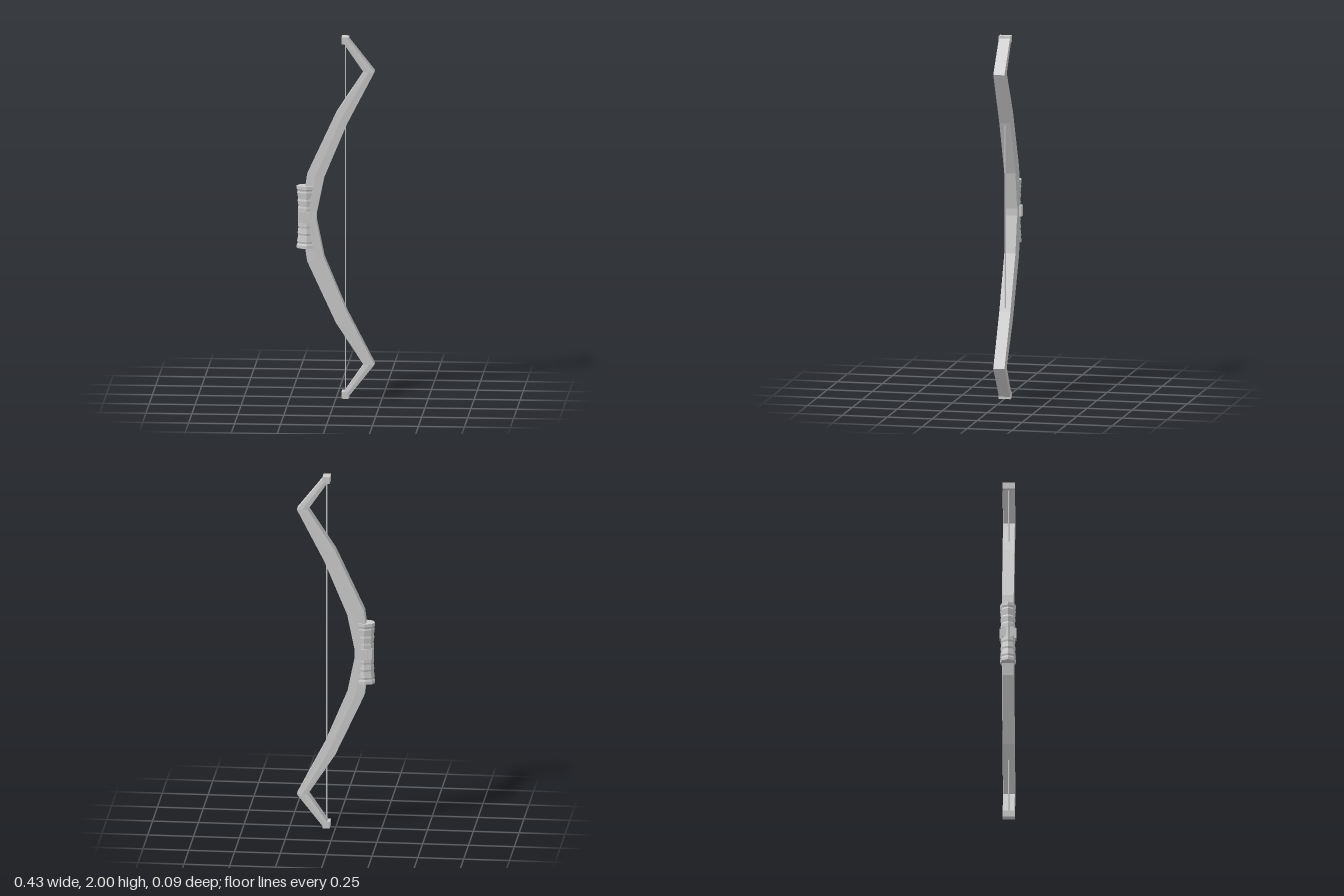
import * as THREE from 'three';

const material = new THREE.MeshStandardMaterial({ color: 0xcccccc, flatShading: true });

// Skin closed rings (bottom to top, counter-clockwise from above) and cap both ends
function loft(rings) {
  const pos = [];
  const tri = (...points) => points.forEach((p) => pos.push(...p));
  const n = rings[0].length;
  for (let r = 0; r < rings.length - 1; r++) {
    const a = rings[r], b = rings[r + 1];
    for (let i = 0; i < n; i++) {
      const j = (i + 1) % n;
      tri(a[i], a[j], b[j]);
      tri(a[i], b[j], b[i]);
    }
  }
  const bottom = rings[0], top = rings[rings.length - 1];
  for (let i = 1; i < n - 1; i++) {
    tri(bottom[0], bottom[i + 1], bottom[i]);
    tri(top[0], top[i], top[i + 1]);
  }
  const geometry = new THREE.BufferGeometry();
  geometry.setAttribute('position', new THREE.Float32BufferAttribute(pos, 3));
  geometry.computeVertexNormals();
  return geometry;
}

export function createModel() {
  const group = new THREE.Group();
  const add = (name, geometry, x = 0, y = 0, z = 0) => {
    const mesh = new THREE.Mesh(geometry, material);
    mesh.name = name;
    mesh.position.set(x, y, z);
    group.add(mesh);
  };

  // Recurved limbs: left and right edge of each station, from the middle to the tip
  const upper = [
    [-0.19, 1.0, -0.11, 1.0],
    [-0.157, 1.24, -0.065, 1.22],
    [0.0, 1.58, 0.06, 1.52],
    [0.15, 1.81, 0.21, 1.81],
    [0.042, 1.967, 0.068, 1.99],
  ];
  const lower = upper.slice(1).reverse().map(([lx, ly, rx, ry]) => [lx, 2 - ly, rx, 2 - ry]);
  const edge = 0.031, ridge = 0.034;
  const limbRings = [...lower, ...upper].map(([lx, ly, rx, ry]) => {
    const mx = (lx + rx) / 2, my = (ly + ry) / 2;
    return [
      [lx, ly, -edge], [lx, ly, edge], [mx, my, ridge],
      [rx, ry, edge], [rx, ry, -edge], [mx, my, -ridge],
    ];
  });
  add('limbs', loft(limbRings));

  // Square tips
  for (const y of [0.0185, 1.9815]) {
    add('tip', new THREE.BoxGeometry(0.04, 0.037, 0.066), 0.05, y);
  }

  // Bowstring
  add('string', new THREE.CylinderGeometry(0.004, 0.004, 1.96, 6), 0.05, 1);

  // Faceted grip with a slight waist and shallow wrap grooves
  const section = [
    [-0.215, 0], [-0.2, 0.032], [-0.16, 0.044], [-0.12, 0.033],
    [-0.12, -0.033], [-0.16, -0.044], [-0.2, -0.032],
  ];
  const half = [[0.02, 0.88], [0.05, 0.9], [0.06, 0.86], [0.09, 0.93], [0.1, 0.88],
    [0.135, 0.97], [0.145, 0.92], [0.155, 1], [0.172, 1]];
  const levels = [...half.map(([d, s]) => [-d, s]).reverse(), ...half];
  add('grip', loft(levels.map(([d, s]) =>
    section.map(([x, z]) => [-0.15 + (x + 0.15) * s, 1 + d, z * s]))));

  // Middle band and side plates
  add('gripBand', new THREE.BoxGeometry(0.096, 0.06, 0.066), -0.154, 1);
  add('sidePlates', new THREE.BoxGeometry(0.037, 0.06, 0.093), -0.159, 1);

  return group;
}
